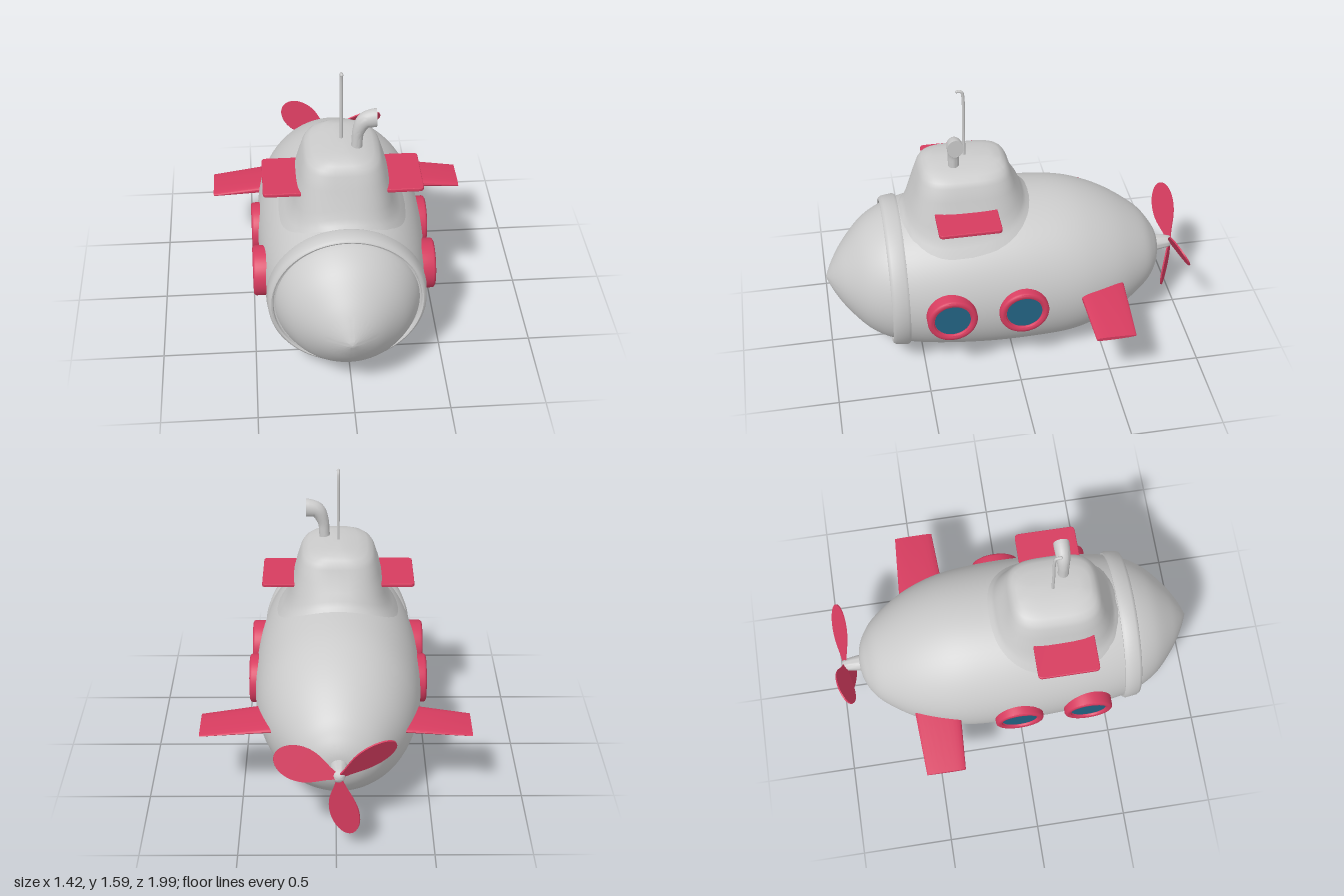
import * as THREE from 'three';
import { toCreasedNormals } from 'three/addons/utils/BufferGeometryUtils.js';

const CX = -0.013; // centre line of the hull
const paint = (name, color) => {
  const m = new THREE.MeshStandardMaterial({ color });
  m.name = name;
  return m;
};
const V = (x, y, z) => new THREE.Vector3(x, y, z);

// Skin over closed rings that all have the same number of points
function loft(rings, crease = 0.6) {
  const n = rings[0].length, pos = [], idx = [];
  rings.forEach(r => r.forEach(p => pos.push(p.x, p.y, p.z)));
  for (let i = 0; i < rings.length - 1; i++) for (let j = 0; j < n; j++) {
    const a = i * n + j, b = i * n + (j + 1) % n, c = b + n, d = a + n;
    idx.push(a, b, d, b, c, d);
  }
  const g = new THREE.BufferGeometry();
  g.setAttribute('position', new THREE.Float32BufferAttribute(pos, 3));
  g.setIndex(idx);
  return toCreasedNormals(g, crease);
}
const ring = (n, fn) => Array.from({ length: n }, (_, j) => fn(j / n * Math.PI * 2));
const lathe = (pts, crease = 0.5, seg = 64) =>
  toCreasedNormals(new THREE.LatheGeometry(pts.map(p => new THREE.Vector2(...p)), seg), crease);

// Hull stations: z, top, bottom, half width
const stations = [
  [-0.866, 0.47, 0.44, 0.005], [-0.855, 0.53, 0.375, 0.085], [-0.82, 0.595, 0.30, 0.165],
  [-0.75, 0.68, 0.222, 0.245], [-0.6, 0.79, 0.115, 0.345], [-0.45, 0.865, 0.05, 0.405],
  [-0.3, 0.908, 0.013, 0.437], [-0.1, 0.928, 0.004, 0.45], [0.1, 0.93, 0.004, 0.45],
  [0.3, 0.915, 0.018, 0.44], [0.48, 0.888, 0.04, 0.42], [0.62, 0.86, 0.068, 0.395]];
const spline = f => new THREE.CatmullRomCurve3(stations.map(f), false, 'catmullrom', 0.5);
const heights = spline(s => V(s[0], s[1], s[2])), widths = spline(s => V(s[0], s[3], 0));
const hull = Array.from({ length: 67 }, (_, i) => {
  const h = heights.getPoint(i / 66), w = widths.getPoint(i / 66).y;
  return { z: h.x, cy: (h.y + h.z) / 2, hy: (h.y - h.z) / 2, w };
});
// Height of the upper hull surface
function hullY(x, z) {
  const s = hull.find(q => q.z >= z) || hull[hull.length - 1];
  return s.cy + s.hy * Math.sqrt(Math.max(0, 1 - ((x - CX) / s.w) ** 2));
}

export function createModel() {
  const model = new THREE.Group();
  model.name = 'submarine';
  const grey = paint('hull grey', 0xcbcbcb);
  const red = paint('trim red', 0xd63c5f);
  const blue = paint('window blue', 0x236484);
  const add = (name, geo, mat, parent = model) => {
    const m = new THREE.Mesh(geo, mat);
    m.name = name;
    parent.add(m);
    return m;
  };

  // Main hull
  add('hull', loft(hull.map(s => ring(72, a =>
    V(CX + s.w * Math.cos(a), s.cy + s.hy * Math.sin(a), s.z))), 1.2), grey);

  // Nose cone and the collar behind it
  const nosePts = new THREE.SplineCurve([[0.375, 0.6], [0.372, 0.67], [0.305, 0.785], [0.19, 0.892],
    [0.09, 0.958], [0, 1]].map(p => new THREE.Vector2(...p))).getPoints(30).map(p => [Math.max(0, p.x), p.y]);
  const collarPts = [[0.37, 0.575], [0.412, 0.578], [0.42, 0.592], [0.412, 0.655], [0.404, 0.668],
    [0.396, 0.672], [0.388, 0.668], [0.384, 0.655], [0.368, 0.652]];
  for (const [name, pts] of [['nose', nosePts], ['collar', collarPts]]) {
    const m = add(name, lathe(pts, 0.7, 80), grey);
    m.rotation.x = Math.PI / 2;
    m.position.set(CX, 0.465, 0);
  }

  // Tower rows: height, half width, back z, front z, squareness, rides on hull
  const towerRows = [
    [-0.03, 0.37, -0.15, 0.60, 2.4, 1], [0.002, 0.335, -0.118, 0.575, 2.5, 1],
    [0.015, 0.305, -0.1, 0.558, 2.7, 1], [0.04, 0.28, -0.084, 0.542, 2.9, 1],
    [0.08, 0.26, -0.067, 0.525, 3.1, 1], [1.05, 0.225, -0.037, 0.49, 3.4, 0],
    [1.12, 0.203, -0.017, 0.468, 3.4, 0], [1.145, 0.188, -0.005, 0.456, 3.4, 0],
    [1.165, 0.16, 0.008, 0.44, 3.4, 0], [1.181, 0.11, 0.03, 0.415, 3.2, 0],
    [1.19, 0.05, 0.08, 0.36, 3, 0], [1.193, 0, 0.22, 0.22, 2, 0]];
  const pw = (v, e) => Math.sign(v) * Math.abs(v) ** e;
  add('tower', loft(towerRows.map(([y, hx, z0, z1, n, ride]) => ring(64, a => {
    const x = CX + hx * pw(Math.cos(a), 2 / n);
    const z = (z0 + z1) / 2 - (z1 - z0) / 2 * pw(Math.sin(a), 2 / n);
    return V(x, ride ? hullY(x, z) + y : y, z);
  })), 1.2), grey);

  // Tower planes: one rounded plate passing through the tower
  const plate = new THREE.Shape(), pw2 = 0.41, pd = 0.16, r = 0.02;
  plate.moveTo(-pw2 + r, -pd);
  for (const [x, y, sx, sy] of [[pw2, -pd, -1, 0], [pw2, pd, 0, -1], [-pw2, pd, 1, 0], [-pw2, -pd, 0, 1]]) {
    plate.lineTo(x + sx * r, y + sy * r);
    const out = [[0, 1], [-1, 0], [0, -1], [1, 0]][[-1, 0, 1, 0].indexOf(sx) === 0 ? 0 : sy === -1 ? 1 : sx === 1 ? 2 : 3];
    plate.quadraticCurveTo(x, y, x + out[0] * r, y + out[1] * r);
  }
  const planeGeo = new THREE.ExtrudeGeometry(plate, { depth: 0.01, bevelThickness: 0.005,
    bevelSize: 0.004, bevelSegments: 2, curveSegments: 5 });
  planeGeo.rotateX(-Math.PI / 2).translate(-0.015, 0.973, 0.245);
  add('towerPlanes', planeGeo, red);

  // Rear fins: tapered aerofoil from tip to tip
  const finRows = [[-0.712, 0], [-0.712, 1], [-0.35, 1], [0.35, 1], [0.712, 1], [0.712, 0]];
  add('rearFins', loft(finRows.map(([x, s]) => ring(24, a => {
    const root = Math.abs(x) < 0.5;
    const th = (root ? 0.024 : 0.009) * s, chord = (root ? 0.126 : 0.107) * s;
    const t = Math.sin(a);
    return V(x, (root ? 0.477 : 0.438) + th * pw(Math.cos(a), 0.7) * (1 + 0.35 * t), -0.467 + chord * pw(t, 0.8));
  })), 0.7), red);

  // Portholes, two on each side
  const rimGeo = lathe([[0.134, -0.13], [0.134, -0.014], [0.13, -0.005], [0.122, 0], [0.11, 0],
    [0.102, -0.004], [0.098, -0.014], [0.094, -0.016], [0.09, -0.016]], 0.6, 48);
  const glassGeo = new THREE.CircleGeometry(0.096, 48).rotateX(-Math.PI / 2).translate(0, -0.0145, 0);
  for (const side of [-1, 1]) for (const z of [0.362, -0.024]) {
    const port = new THREE.Group();
    port.name = 'porthole';
    add('portholeRim', rimGeo, red, port);
    add('portholeGlass', glassGeo, blue, port);
    port.rotation.z = -side * Math.PI / 2;
    port.position.set(CX + side * 0.484, 0.46, z);
    model.add(port);
  }

  // Periscope: bent tube widening to an oval mouth
  const bend = new THREE.CatmullRomCurve3([V(0.057, 1.12, 0.285), V(0.06, 1.2, 0.285),
    V(0.068, 1.275, 0.285), V(0.1, 1.335, 0.285), V(0.16, 1.352, 0.285)]);
  const scope = new THREE.TubeGeometry(bend, 32, 0.029, 24);
  const p = scope.attributes.position;
  for (let i = 0; i < p.count; i++) {
    const t = Math.floor(i / 25) / 32, c = bend.getPointAt(t);
    const s = 1 + 0.72 * THREE.MathUtils.smoothstep(t, 0.4, 1);
    const q = V(p.getX(i), p.getY(i), p.getZ(i)).sub(c).multiplyScalar(s);
    q.z *= 1 - 0.17 * THREE.MathUtils.smoothstep(t, 0.4, 1);
    if (t === 1) q.x = 0;
    p.setXYZ(i, c.x + q.x, c.y + q.y, c.z + q.z);
  }
  scope.computeVertexNormals();
  add('periscope', toCreasedNormals(scope, 1), grey);
  const mouth = add('periscopeMouth', new THREE.CircleGeometry(1, 32), grey);
  mouth.rotation.y = Math.PI / 2;
  mouth.scale.set(0.0415, 0.05, 1);
  mouth.position.set(0.16, 1.352, 0.285);

  // Aerial with a hooked tip
  const mast = new THREE.CatmullRomCurve3([V(-0.015, 1.15, 0.218), V(-0.015, 1.35, 0.218),
    V(-0.015, 1.555, 0.218), V(-0.015, 1.578, 0.225), V(-0.015, 1.582, 0.248)]);
  add('aerial', new THREE.TubeGeometry(mast, 60, 0.008, 12), grey);
  add('aerialTip', new THREE.SphereGeometry(0.0085, 12, 8), grey).position.set(-0.015, 1.582, 0.248);

  // Propeller hub and three pitched blades
  const propeller = new THREE.Group();
  propeller.name = 'propeller';
  propeller.position.set(CX, 0.447, -0.948);
  const hub = add('propellerHub', lathe([[0.046, -0.12], [0.043, -0.07], [0.036, -0.02], [0.03, 0.004],
    [0.018, 0.014], [0, 0.018]], 1, 32), grey, propeller);
  hub.rotation.x = -Math.PI / 2;
  const leaf = new THREE.Shape();
  leaf.moveTo(-0.014, 0);
  leaf.bezierCurveTo(-0.03, -0.08, -0.088, -0.12, -0.086, -0.22);
  leaf.bezierCurveTo(-0.084, -0.29, -0.045, -0.345, 0, -0.345);
  leaf.bezierCurveTo(0.045, -0.345, 0.084, -0.29, 0.086, -0.22);
  leaf.bezierCurveTo(0.088, -0.12, 0.03, -0.08, 0.014, 0);
  const leafGeo = new THREE.ExtrudeGeometry(leaf, { depth: 0.008, bevelEnabled: false, curveSegments: 16 });
  leafGeo.translate(0, 0, -0.004).rotateY(-0.5);
  for (let i = 0; i < 3; i++) {
    add('propellerBlade', leafGeo, red, propeller).rotation.z = -0.13 + i * Math.PI * 2 / 3;
  }
  model.add(propeller);
  return model;
}
